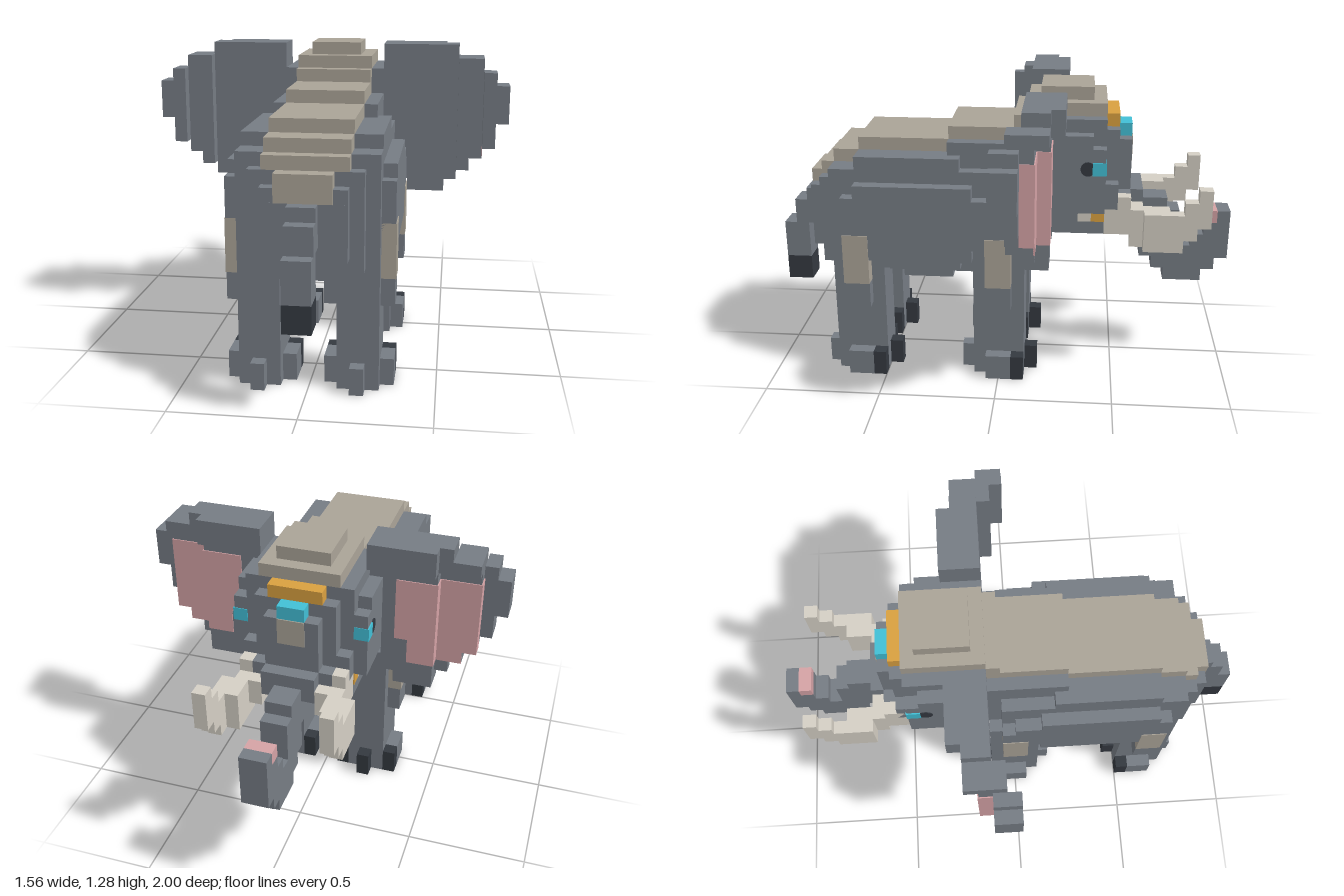
import * as THREE from 'three';
import { mergeGeometries } from 'three/addons/utils/BufferGeometryUtils.js';

const U = 1 / 18; // one block

const colour = (name, hex) => {
  const m = new THREE.MeshStandardMaterial({ color: hex });
  m.name = name;
  return m;
};

// Box from block ranges
function block([x0, x1, y0, y1, z0, z1]) {
  const g = new THREE.BoxGeometry((x1 - x0) * U, (y1 - y0) * U, (z1 - z0) * U);
  g.translate((x0 + x1) / 2 * U, (y0 + y1) / 2 * U, (z0 + z1) / 2 * U);
  return g;
}

export function createModel() {
  const hide = colour('grey hide', 0x767c84);
  const tan = colour('tan dust', 0xaaa397);
  const ivory = colour('ivory', 0xd4cfc4);
  const pink = colour('pink skin', 0xd4a2a5);
  const gold = colour('gold', 0xd9a040);
  const cyan = colour('cyan gem', 0x42bfd6);
  const dark = colour('dark', 0x343940);

  const model = new THREE.Group();
  model.name = 'elephant';

  const part = (name, mat, boxes) => {
    const mesh = new THREE.Mesh(mergeGeometries(boxes.map(block)), mat);
    mesh.name = name;
    model.add(mesh);
  };
  // Centred boxes: [halfWidth, y0, y1, z0, z1]
  const centre = (name, mat, boxes) =>
    part(name, mat, boxes.map(([w, ...r]) => [-w, w, ...r]));
  // Both sides, given the +x one
  const pair = (name, mat, boxes) => {
    part(name + 'Left', mat, boxes);
    part(name + 'Right', mat, boxes.map(([a, b, ...r]) => [-b, -a, ...r]));
  };

  // Body: nested layers, wide at the flanks and narrow on the back
  centre('body', hide, [
    [6, 11, 15, 0, 12], [6, 10, 16, 2, 11],
    [5, 10, 17, -1, 13], [5, 9, 18, 3, 11],
    [4, 9, 16, -2, 14], [4, 9, 19, -2, 4], [4, 9, 17, 4, 13],
    [3, 10, 14, 13, 15], [3, 14, 15, 13, 14.99],
    [3, 8, 16, 1, 13], [2, 7, 9, 4, 8],
    [3, 10, 18, -2, 4], [3, 11, 16, -3, 0],
  ]);
  centre('backStripe', tan, [
    [3, 19, 20, -3, 4], [3, 18, 19, 4, 11], [3, 17, 18, 11, 13],
    [3, 16, 17, 13, 14], [2, 14, 16, 14, 15.1],
  ]);

  // Tail
  centre('tail', hide, [[1, 13, 14, 14, 16], [1, 11, 13, 15, 17], [1, 8, 11, 16, 18]]);
  centre('tailTuft', dark, [[1, 6, 8, 16, 18]]);

  // Legs and feet, front pair at z = 0 and rear pair at z = 11
  for (const [name, z] of [['front', 0], ['rear', 11]]) {
    pair(name + 'Leg', hide, [
      [2, 5, 2, 12, z - 2, z + 2], [1, 5, 6, 11, z - 1, z + 1],
      [5, 6, 6, 8, z - 1, z + 1], [5, 6, 12, 14, z - 1, z + 1],
    ]);
    pair(name + 'LegPatch', tan, [[5, 6.06, 8, 12, z - 1, z + 1]]);
    pair(name + 'Foot', hide, [
      [1, 6, 0, 2, z - 1, z + 1], [2, 5, 0, 2, z - 2, z + 2], [3, 4, 0, 2, z + 2, z + 3],
    ]);
    pair(name + 'Toes', dark, [
      [1, 2, 0, 2, z - 2, z - 1], [5, 6, 0, 2, z - 2, z - 1], [3, 4, 0, 2, z - 3, z - 2],
    ]);
  }

  // Head
  centre('head', hide, [
    [4, 12, 21, -8, -2], [5, 14, 19, -7, -3], [5, 18, 20, -7, -4],
    [3, 13, 20, -9, -8], [4, 14, 16, -9, -8],
    [3, 14, 15, -10, -9], [2, 14, 19, -10, -9],
    [3, 11, 12, -4, -2], [3, 10, 12, -2.5, -1],
  ]);
  pair('cheek', hide, [[4, 5, 14, 17, -8, -7], [4, 5, 18, 19, -8, -7]]);
  // Stepped crown running down onto the neck
  centre('crown', tan, [
    [3, 21, 22, -8, -2], [2, 22, 23, -7, -3], [3, 20, 21, -3, -1],
  ]);
  centre('browBand', gold, [[2, 20, 21, -9, -8]]);
  centre('browGem', cyan, [[1, 19, 20, -10, -9]]);
  centre('facePatch', tan, [[1, 17, 19, -10.08, -9.9]]);

  // Eyes: bright block in front, round dark plate on the side
  pair('eye', cyan, [[4, 5.1, 17, 18, -8.05, -7]]);
  for (const s of [1, -1]) {
    const disc = new THREE.Mesh(new THREE.CylinderGeometry(0.55 * U, 0.55 * U, 0.008, 16), dark);
    disc.rotation.z = Math.PI / 2;
    disc.position.set(s * 5 * U, 17.5 * U, -6.65 * U);
    disc.name = s > 0 ? 'pupilLeft' : 'pupilRight';
    model.add(disc);
  }

  // Ears: slabs stepping backwards under a thicker top rim
  pair('ear', hide, [
    [4, 9, 14, 21, -4, -2], [4, 9, 21, 23, -5, -2], [5, 9, 12, 14, -4, -2],
    [6, 9, 11, 12, -4, -2],
    [9, 10, 12, 21, -3, -2], [9, 10, 21, 23, -4, -2],
    [10, 11, 13, 21, -3, -1], [11, 12, 14, 21, -3, -1], [10, 12, 21, 22, -4, -1],
    [12, 13, 15, 21, -2, 0], [13, 14, 17, 20, -2, 0],
  ]);
  pair('innerEar', pink, [
    [6, 9, 15, 20, -4.08, -3.95], [7, 9, 13, 15, -4.08, -3.95],
    [8.95, 9.08, 13, 20, -4.08, -3],
    [9, 11, 13, 20, -3.08, -2.95], [11, 12, 14, 20, -3.08, -2.95],
    [11.95, 12.08, 14, 20, -3.08, -2],
  ]);

  // Trunk curling forward and up
  centre('trunk', hide, [
    [2, 13, 15, -11, -10], [1, 11, 14, -13, -10], [1, 9, 13, -14, -11],
    [1, 8, 10, -15, -12], [1, 7, 9, -16, -13], [1, 8, 11, -17, -15],
    [1, 9, 12, -18, -16], [1, 12, 13, -18, -17],
  ]);
  centre('trunkTip', pink, [[1, 12, 13, -17, -16]]);

  // Tusks with gold rings
  pair('tusk', ivory, [
    [3, 4.08, 13, 14, -7, -6], [3, 4, 12, 15, -10, -8], [2, 4, 12, 14, -11, -9],
    [3, 4, 11, 14, -13, -10], [4, 5, 11, 14, -14, -11],
    [4, 5, 12, 14, -15, -13], [4, 5, 13, 15, -16, -14], [4, 5, 15, 16, -16, -15],
  ]);
  pair('tuskRing', gold, [[3, 4.08, 13, 14, -8, -7]]);

  return model;
}
